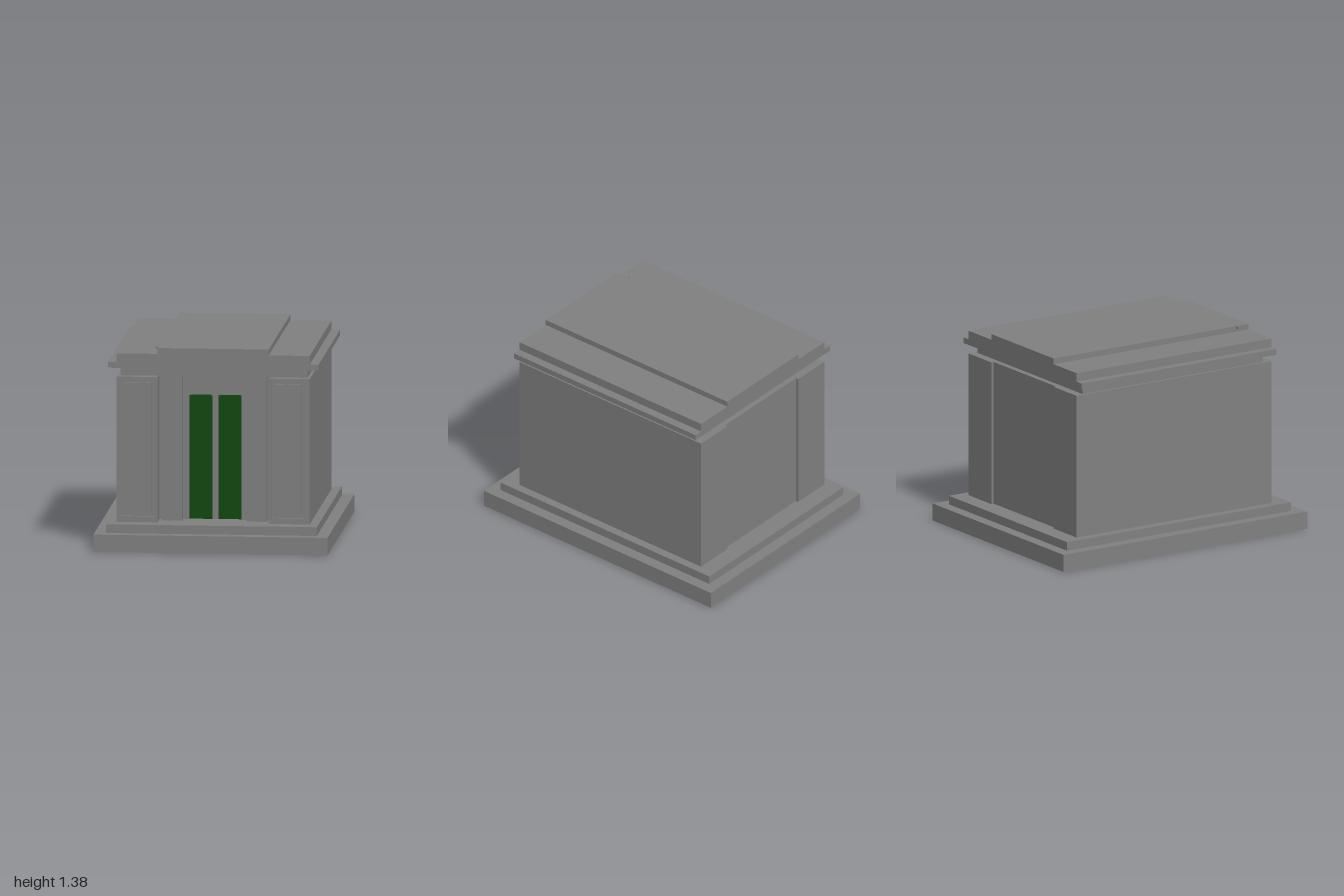
import * as THREE from 'three';

const stone = new THREE.MeshStandardMaterial({ color: 0x808080 });
stone.name = 'grey stone';
const green = new THREE.MeshStandardMaterial({ color: 0x124812 });
green.name = 'dark green';

export function createModel() {
  const model = new THREE.Group();
  model.name = 'mausoleum';

  // Box given by its minimum and maximum on each axis
  function block(name, [x0, x1], [y0, y1], [z0, z1], material = stone) {
    const mesh = new THREE.Mesh(new THREE.BoxGeometry(x1 - x0, y1 - y0, z1 - z0), material);
    mesh.position.set((x0 + x1) / 2, (y0 + y1) / 2, (z0 + z1) / 2);
    mesh.name = name;
    model.add(mesh);
  }

  // Flat slab facing +z with a rectangular opening
  function frame(name, [x0, x1], [y0, y1], [z0, z1], [hx0, hx1], [hy0, hy1]) {
    const rect = (a, b, c, d) => [[a, c], [b, c], [b, d], [a, d]].map(p => new THREE.Vector2(...p));
    const shape = new THREE.Shape(rect(x0, x1, y0, y1));
    shape.holes.push(new THREE.Path(rect(hx0, hx1, hy0, hy1).reverse()));
    const geometry = new THREE.ExtrudeGeometry(shape, { depth: z1 - z0, bevelEnabled: false });
    const mesh = new THREE.Mesh(geometry, stone);
    mesh.position.z = z0;
    mesh.name = name;
    model.add(mesh);
  }

  const span = (side, a, b) => (side > 0 ? [a, b] : [-b, -a]);
  const wall = [0.18, 1.18];

  // Stepped base
  block('base', [-0.8, 0.8], [0, 0.12], [-1, 1]);
  block('step', [-0.72, 0.72], [0.12, 0.18], [-0.92, 0.92]);

  // Central chamber and the wall around the doorway
  block('chamber', [-0.38, 0.38], wall, [-0.78, 0.6]);
  frame('doorSurround', [-0.38, 0.38], wall, [0.6, 0.64], [-0.18, 0.18], [0.18, 1.04]);
  block('doorMullion', [-0.02, 0.02], [0.18, 1.04], [0.6, 0.615]);

  for (const side of [-1, 1]) {
    // Side wings, with a grooved panel on the front
    block('wing', span(side, 0.38, 0.66), wall, [-0.8, 0.78]);
    frame('wingFrame', span(side, 0.38, 0.66), wall, [0.78, 0.8], span(side, 0.397, 0.624), [0.22, 1.165]);
    block('wingPanel', span(side, 0.42, 0.604), [0.245, 1.14], [0.78, 0.8]);

    // Piers beside the doorway, with a narrow gap to the wings
    block('pier', span(side, 0.22, 0.357), wall, [0.64, 0.71]);

    // Door leaf and its small hinge pins
    block('door', span(side, 0.02, 0.18), [0.18, 1.04], [0.601, 0.61], green);
    for (const x of [0.022, 0.17]) {
      block('hingePin', span(side, x, x + 0.008), [1.032, 1.04], [0.61, 0.618]);
    }
  }

  // Frieze, cornice and stepped roof
  block('frieze', [-0.64, 0.64], [1.18, 1.24], [-0.74, 0.74]);
  block('cornice', [-0.72, 0.72], [1.24, 1.28], [-0.8, 0.8]);
  block('lowerRoof', [-0.66, 0.66], [1.28, 1.34], [-0.8, 0.8]);
  block('upperRoof', [-0.38, 0.38], [1.34, 1.38], [-0.8, 0.8]);
  block('roofNub', [-0.4, -0.38], [1.36, 1.38], [0.7, 0.72]);

  return model;
}
